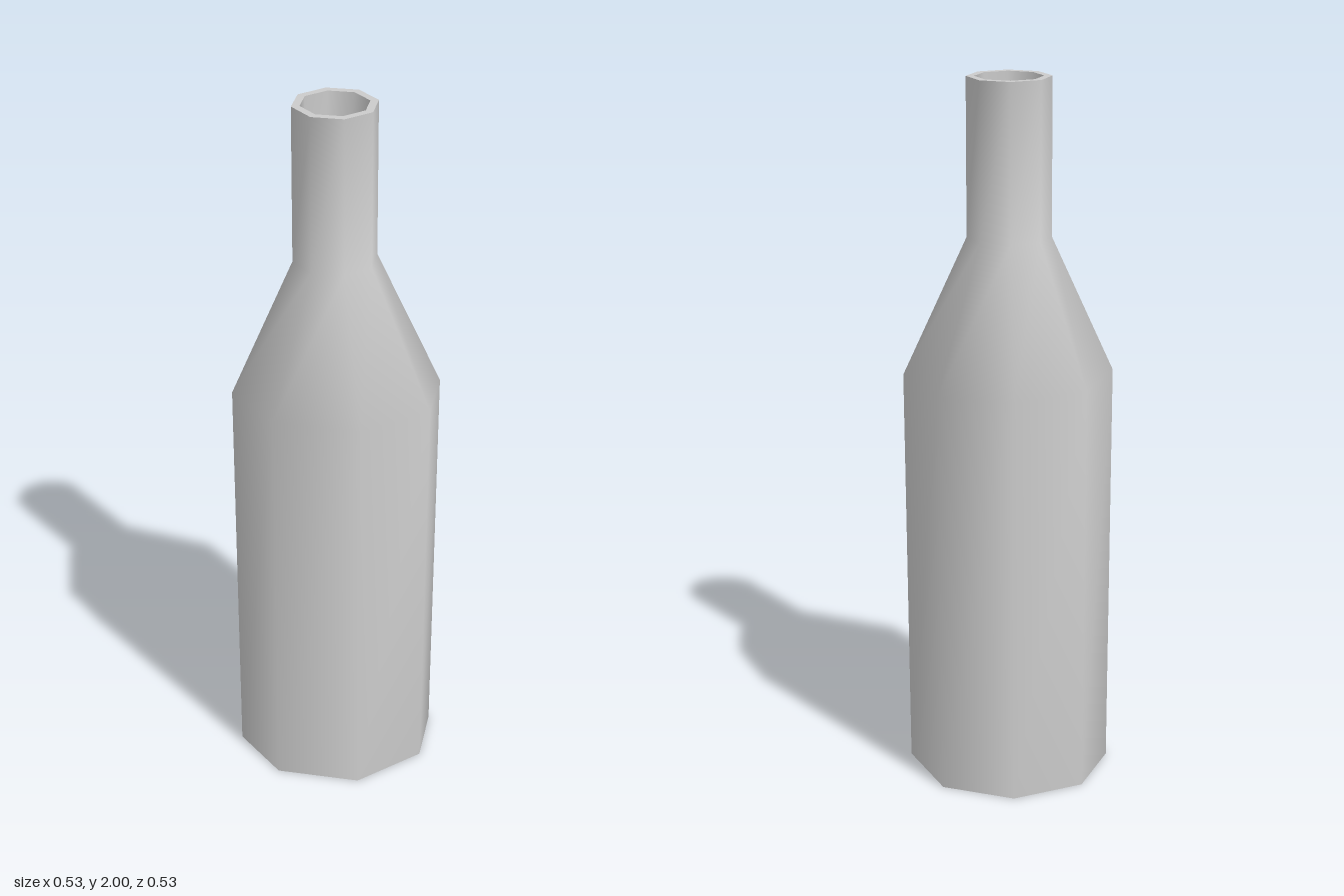
import * as THREE from 'three';

const SIDES = 8;

// Slightly uneven eight-sided body outline, as [x, z]
const bodyCorners = [
  [-0.11, -0.267], [0.108, -0.268], [0.265, -0.115], [0.265, 0.131],
  [0.13, 0.266], [-0.1, 0.266], [-0.268, 0.092], [-0.268, -0.112],
];

// Ring following the body outline; tilt lowers it towards +x
const bodyRing = (y, scale, tilt = 0, shift = 0) => bodyCorners.map(([x, z]) =>
  new THREE.Vector3(x * scale + shift, y - tilt * x, z * scale));

// Regular octagon ring measured across its flats
function neckRing(y, apothem) {
  const radius = apothem / Math.cos(Math.PI / SIDES);
  return Array.from({ length: SIDES }, (_, i) => {
    const a = (i - 2.5) * Math.PI * 2 / SIDES;
    return new THREE.Vector3(Math.cos(a) * radius - 0.001, y, Math.sin(a) * radius);
  });
}

// Skin joining successive rings, smooth within one part
function skin(name, rings, material) {
  const geometry = new THREE.BufferGeometry().setFromPoints(rings.flat());
  const index = [];
  for (let r = 0; r < rings.length - 1; r++) {
    for (let i = 0; i < SIDES; i++) {
      const j = (i + 1) % SIDES;
      const a = r * SIDES + i, b = r * SIDES + j;
      const c = b + SIDES, d = a + SIDES;
      index.push(b, a, d, b, d, c);
    }
  }
  geometry.setIndex(index);
  geometry.computeVertexNormals();
  const mesh = new THREE.Mesh(geometry, material);
  mesh.name = name;
  return mesh;
}

export function createModel() {
  const model = new THREE.Group();
  model.name = 'bottle';
  const glass = new THREE.MeshStandardMaterial({ color: 0xcccccc });
  glass.name = 'light grey';

  const foot = bodyRing(0, 0.98, 0, -0.002);
  const lip = neckRing(2, 0.108);
  const mouth = neckRing(2, 0.087);
  const boreEnd = neckRing(1.56, 0.087);

  model.add(
    // Body, sloping shoulder and neck as one smooth wall
    skin('outerWall', [foot, bodyRing(1.172, 1, 0.028), neckRing(1.56, 0.108), lip], glass),
    // Flat underside
    skin('base', [bodyRing(0, 0), foot], glass),
    // Flat lip and hollow neck
    skin('rim', [lip, mouth], glass),
    skin('innerWall', [mouth, boreEnd], glass),
    skin('innerFloor', [boreEnd, neckRing(1.56, 0)], glass),
  );
  return model;
}
